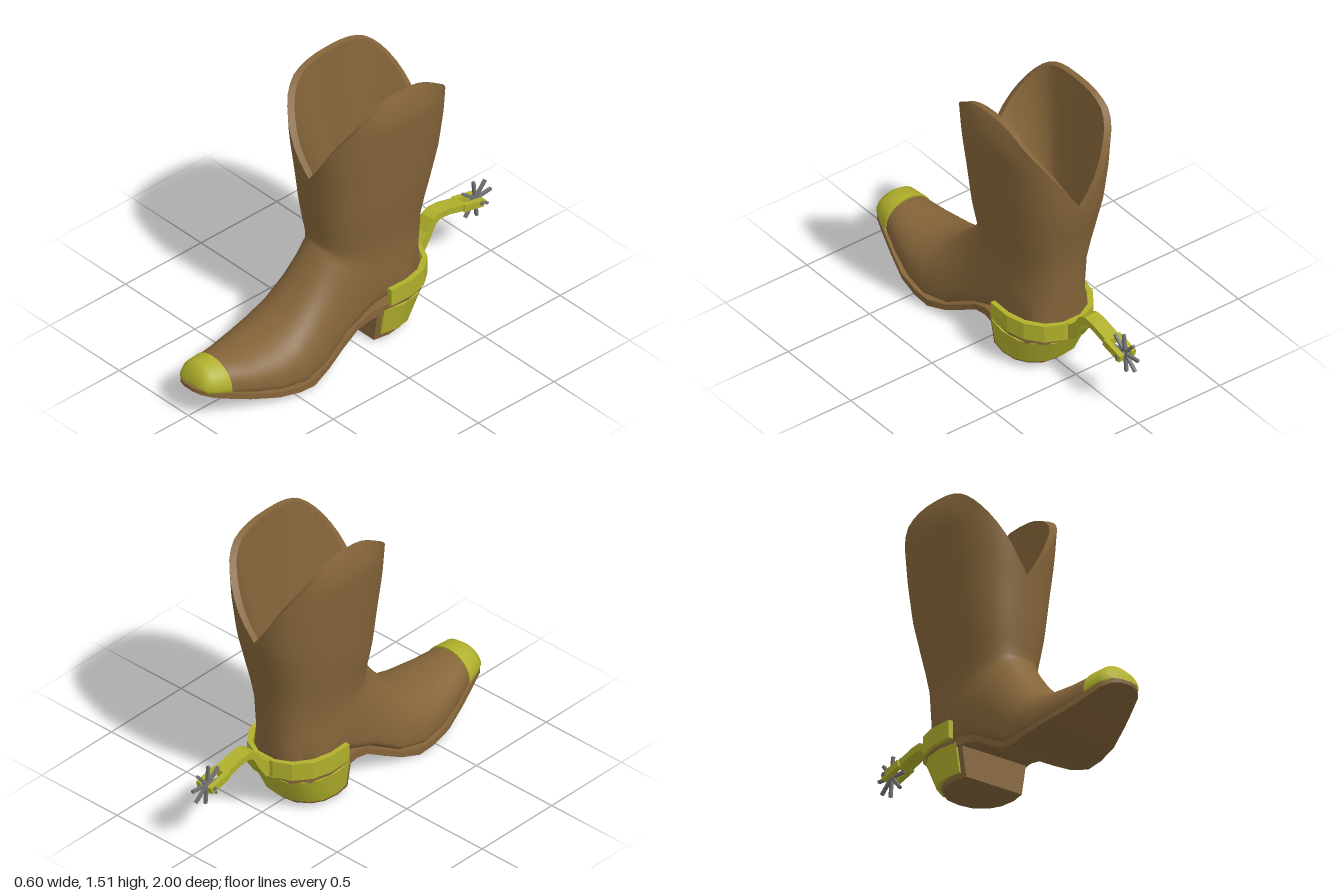
import * as THREE from 'three';
import { toCreasedNormals } from 'three/addons/utils/BufferGeometryUtils.js';

const SEG = 48;
const leather = new THREE.MeshStandardMaterial({ name: 'brownLeather', color: 0x85653a });
const brass = new THREE.MeshStandardMaterial({ name: 'yellowBrass', color: 0xb0b02c });
const steel = new THREE.MeshStandardMaterial({ name: 'greySteel', color: 0x737373 });

const spow = (v, p) => Math.sign(v) * Math.abs(v) ** p;
const lerp = THREE.MathUtils.lerp;

// Skin a list of closed rings of [x, y, z]; rings run from the front/top towards +x.
function loft(rows, crease = 0.7) {
  const n = rows[0].length, index = [];
  for (let r = 0; r < rows.length - 1; r++) {
    for (let i = 0; i < n; i++) {
      const j = (i + 1) % n;
      const a = r * n + i, b = r * n + j, c = a + n, d = b + n;
      index.push(a, b, c, b, d, c);
    }
  }
  const geo = new THREE.BufferGeometry();
  geo.setAttribute('position', new THREE.Float32BufferAttribute(rows.flat(2), 3));
  geo.setIndex(index);
  return toCreasedNormals(geo, crease);
}

// A ring shrunk to its centre, used to close an end.
function collapse(row) {
  const c = [0, 1, 2].map(k => row.reduce((s, p) => s + p[k], 0) / row.length);
  return row.map(() => c);
}
const capped = rows => [collapse(rows[0]), ...rows, collapse(rows[rows.length - 1])];

const ring = fn => Array.from({ length: SEG }, (_, i) => fn((i / SEG) * Math.PI * 2));

// Slanted section from the upper point P to the lower point Q, widest at fraction c.
function section([pz, py, qz, qy, w, c, nLow], nUp = 2) {
  return ring(a => {
    const co = Math.cos(a), n = co >= 0 ? nUp : nLow;
    const t = c + (co >= 0 ? 1 - c : c) * spow(co, 2 / n);
    return [w * spow(Math.sin(a), 2 / n), lerp(qy, py, t), lerp(qz, pz, t)];
  });
}

// Shaft profile: height, front z, back z, half width
const SHAFT = [
  [0.62, 0.155, -0.46, 0.2], [0.8, 0.18, -0.5, 0.235], [1.0, 0.2, -0.552, 0.26],
  [1.2, 0.224, -0.575, 0.283], [1.4, 0.226, -0.578, 0.305], [1.46, 0.224, -0.576, 0.298],
  [1.52, 0.22, -0.57, 0.268],
];
const rimHeight = a => 1.04 + 0.475 * Math.abs(Math.sin(a)) ** 0.9;

function shaftPoint(a, y, inset = 0) {
  let k = 0;
  while (k < SHAFT.length - 2 && y > SHAFT[k + 1][0]) k++;
  const A = SHAFT[k], B = SHAFT[k + 1], t = (y - A[0]) / (B[0] - A[0]);
  const [f, b, w] = [1, 2, 3].map(i => lerp(A[i], B[i], t));
  return [
    (w - inset) * spow(Math.sin(a), 2 / 2.6), y,
    (f + b) / 2 + ((f - b) / 2 - inset) * spow(Math.cos(a), 2 / 2.6),
  ];
}

// Heel outline: half of a D, mirrored, starting at the front centre
function heelRing(y, front, back, w) {
  const half = [[0, 0], [0.92, 0], [1, 0.3], [0.94, 0.6], [0.76, 0.8], [0.42, 0.96], [0, 1]];
  const left = half.map(([x, t]) => [x * w, y, lerp(front, back, t)]);
  const right = left.slice(1, -1).reverse().map(([x, yy, z]) => [-x, yy, z]);
  return [...left, ...right];
}

// Profile drawn in (z, y), extruded across x and centred
function sideExtrude(points, width) {
  const shape = new THREE.Shape(points.map(p => new THREE.Vector2(...p)));
  return new THREE.ExtrudeGeometry(shape, { depth: width, bevelEnabled: false })
    .rotateY(-Math.PI / 2).translate(width / 2, 0, 0);
}

export function createModel() {
  const model = new THREE.Group();
  model.name = 'cowboyBoot';
  const add = (name, geo, mat, parent = model) => {
    const mesh = new THREE.Mesh(geo, mat);
    mesh.name = name;
    parent.add(mesh);
    return mesh;
  };

  // Foot and shaft in one skin; the sections swing from upright to level
  const FOOT = [
    [0.965, 0.195, 0.97, 0.18, 0.06, 0.2, 5],
    [0.935, 0.25, 0.94, 0.16, 0.1, 0.2, 5],
    [0.85, 0.273, 0.85, 0.135, 0.132, 0.2, 5],
    [0.72, 0.262, 0.72, 0.09, 0.175, 0.2, 5],
    [0.58, 0.266, 0.56, 0.052, 0.218, 0.2, 5],
    [0.46, 0.3, 0.42, 0.035, 0.232, 0.2, 5],
    [0.36, 0.37, 0.27, 0.06, 0.215, 0.22, 5],
    [0.27, 0.46, 0.1, 0.155, 0.195, 0.25, 4],
    [0.21, 0.54, -0.1, 0.222, 0.19, 0.3, 4],
    [0.18, 0.585, -0.3, 0.225, 0.2, 0.35, 3.5],
    [0.165, 0.605, -0.435, 0.23, 0.2, 0.4, 3],
    [0.158, 0.615, -0.45, 0.4, 0.192, 0.5, 2.6],
    [0.155, 0.63, -0.46, 0.6, 0.2, 0.5, 2.6],
  ];
  const skin = FOOT.map((s, i) => section(s, 2 + 0.05 * i));
  skin.unshift(collapse(skin[0]));
  for (let k = 1; k <= 10; k++) {
    skin.push(ring(a => shaftPoint(a, lerp(0.64, rimHeight(a), k / 10))));
  }
  add('upper', loft(skin, 0.9), leather);

  // Rim and tapering inside with a flat floor
  const floor = ring(a => [
    0.17 * spow(Math.sin(a), 0.45), 0.5, -0.19 + 0.09 * spow(Math.cos(a), 0.45),
  ]);
  add('lining', loft([
    ring(a => shaftPoint(a, rimHeight(a))),
    ring(a => shaftPoint(a, rimHeight(a), 0.033)),
    floor, collapse(floor),
  ]), leather);

  // Sole stations: z, half width, top, bottom
  const SOLE = [
    [1.0, 0.03, 0.185, 0.165], [0.985, 0.075, 0.184, 0.16], [0.94, 0.115, 0.17, 0.143],
    [0.85, 0.145, 0.14, 0.108], [0.75, 0.177, 0.105, 0.073], [0.6, 0.225, 0.065, 0.035],
    [0.48, 0.238, 0.046, 0.012], [0.38, 0.236, 0.04, 0.003], [0.27, 0.216, 0.068, 0.035],
    [0.15, 0.197, 0.13, 0.098], [0.05, 0.192, 0.19, 0.158], [-0.03, 0.198, 0.22, 0.178],
    [-0.1, 0.21, 0.23, 0.18], [-0.25, 0.222, 0.23, 0.19], [-0.36, 0.195, 0.23, 0.195],
    [-0.43, 0.125, 0.23, 0.195], [-0.452, 0.05, 0.23, 0.195],
  ];
  add('sole', loft(capped(SOLE.map(([z, w, t, b]) =>
    [[-w, t, z], [w, t, z], [w, b, z], [-w, b, z]])), 0.6), leather);

  // Stacked heel and its brass guard
  add('heel', loft(capped([
    heelRing(0.018, -0.07, -0.355, 0.185), heelRing(0.2, -0.07, -0.435, 0.215),
  ]), 0.5), leather);
  add('heelGuard', loft(capped([
    heelRing(0.048, -0.1, -0.385, 0.205), heelRing(0.2, -0.1, -0.46, 0.232),
  ]), 0.5), brass);

  // Toe cap, slightly proud of the upper
  const capRows = [
    [0.982, 0.2, 0.982, 0.18, 0.065, 0.2, 5],
    [0.962, 0.255, 0.965, 0.165, 0.1, 0.2, 5],
    [0.925, 0.286, 0.93, 0.152, 0.12, 0.2, 5],
    [0.84, 0.284, 0.84, 0.128, 0.142, 0.2, 5],
    [0.84, 0.262, 0.84, 0.135, 0.125, 0.2, 5],
  ].map(s => section(s));
  add('toeCap', loft([collapse(capRows[0]), ...capRows], 0.8), brass);

  // Spur: heel band, shank, fork and rowel
  const spur = new THREE.Group();
  spur.name = 'spur';
  model.add(spur);

  const arc = [[0.236, -0.125], [0.24, -0.26], [0.215, -0.36], [0.15, -0.445], [0.06, -0.488]];
  const outer = [...arc, ...arc.map(([x, z]) => [-x, z]).reverse()];
  const inner = outer.map(([x, z]) => [x * 0.89, z === -0.125 ? z : z + 0.022]).reverse();
  const bandShape = new THREE.Shape([...outer, ...inner].map(p => new THREE.Vector2(...p)));
  add('heelBand', new THREE.ExtrudeGeometry(bandShape, { depth: 0.095, bevelEnabled: false })
    .rotateX(Math.PI / 2).translate(0, 0.327, 0), brass, spur);

  add('shank', sideExtrude([
    [-0.47, 0.325], [-0.5, 0.325], [-0.54, 0.36], [-0.58, 0.42], [-0.62, 0.44], [-0.68, 0.436],
    [-0.8, 0.405], [-0.8, 0.367], [-0.69, 0.398], [-0.63, 0.403], [-0.6, 0.385],
    [-0.56, 0.31], [-0.51, 0.238], [-0.47, 0.238],
  ], 0.08), brass, spur);

  for (const side of [-1, 1]) {
    const prong = add(side > 0 ? 'leftProng' : 'rightProng',
      new THREE.BoxGeometry(0.028, 0.038, 0.135), brass, spur);
    prong.position.set(side * 0.036, 0.376, -0.848);
    prong.rotation.x = -0.22;
  }

  const rowel = new THREE.Group();
  rowel.name = 'rowel';
  rowel.position.set(0, 0.37, -0.895);
  spur.add(rowel);
  add('pin', new THREE.CylinderGeometry(0.012, 0.012, 0.11, 8).rotateZ(Math.PI / 2), steel, rowel);
  add('hub', new THREE.CylinderGeometry(0.025, 0.025, 0.018, 12).rotateZ(Math.PI / 2), steel, rowel);
  for (let i = 0; i < 8; i++) {
    const spike = add('spike', new THREE.BoxGeometry(0.016, 0.105, 0.014).translate(0, 0.0525, 0), steel, rowel);
    spike.rotation.x = (i / 8) * Math.PI * 2 + 0.1;
  }
  return model;
}
